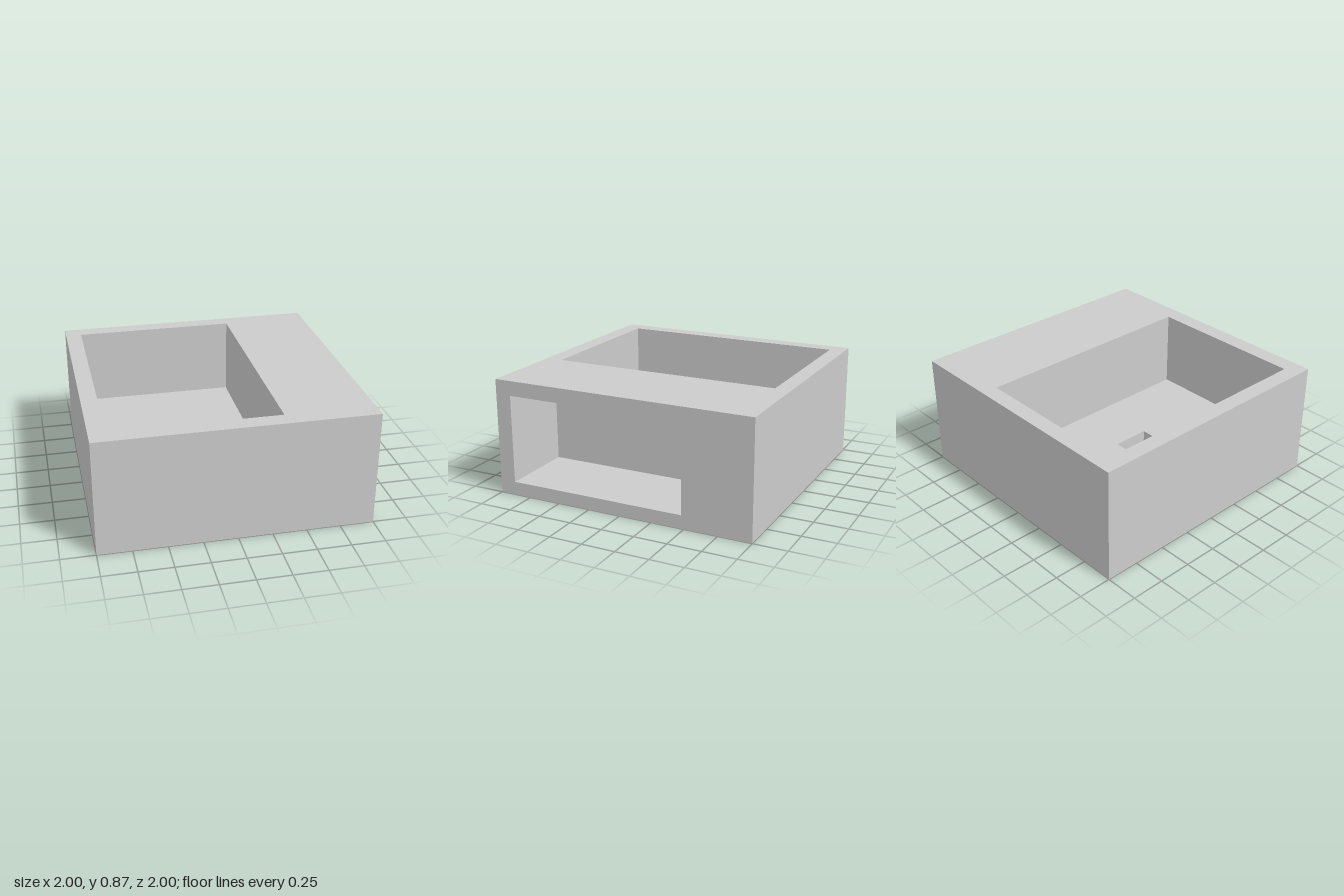
import * as THREE from 'three';

const H = 0.87;         // overall height
const FLOOR = 0.28;     // basin floor height
const NICHE_BACK = 0.42; // x of the niche's rear wall

// Counter-clockwise rectangle added to a Shape or Path
function rect(target, x0, y0, x1, y1) {
  target.moveTo(x0, y0);
  target.lineTo(x1, y0);
  target.lineTo(x1, y1);
  target.lineTo(x0, y1);
  target.closePath();
  return target;
}

// Rectangular plate with one rectangular opening
function frame(outer, hole, depth) {
  const shape = rect(new THREE.Shape(), ...outer);
  shape.holes.push(rect(new THREE.Path(), ...hole));
  return new THREE.ExtrudeGeometry(shape, { depth, bevelEnabled: false });
}

export function createModel() {
  const group = new THREE.Group();
  const material = new THREE.MeshStandardMaterial({ color: 0xcccccc });
  const add = (name, geometry) => {
    const mesh = new THREE.Mesh(geometry, material);
    mesh.name = name;
    group.add(mesh);
  };

  // Floor slab pierced by the square drain (plan coordinates are x, -z)
  const plan = [-1, -1, NICHE_BACK, 1];
  add('basinFloor', frame(plan, [-0.41, -0.15, -0.13, 0.13], FLOOR).rotateX(-Math.PI / 2));

  // Walls around the basin
  add('basinWalls', frame(plan, [-0.88, -0.87, 0.34, 0.88], H - FLOOR)
    .rotateX(-Math.PI / 2).translate(0, FLOOR, 0));

  // Side block with the open storage niche (profile coordinates are -z, y)
  add('nicheBlock', frame([-1, 0, 1, H], [-0.88, 0.1, 0.48, 0.76], 1 - NICHE_BACK)
    .rotateY(Math.PI / 2).translate(NICHE_BACK, 0, 0));

  // Thin plate closing the drain at the underside
  add('drainCap', new THREE.BoxGeometry(0.28, 0.01, 0.28).translate(-0.27, 0.005, 0.01));

  return group;
}
